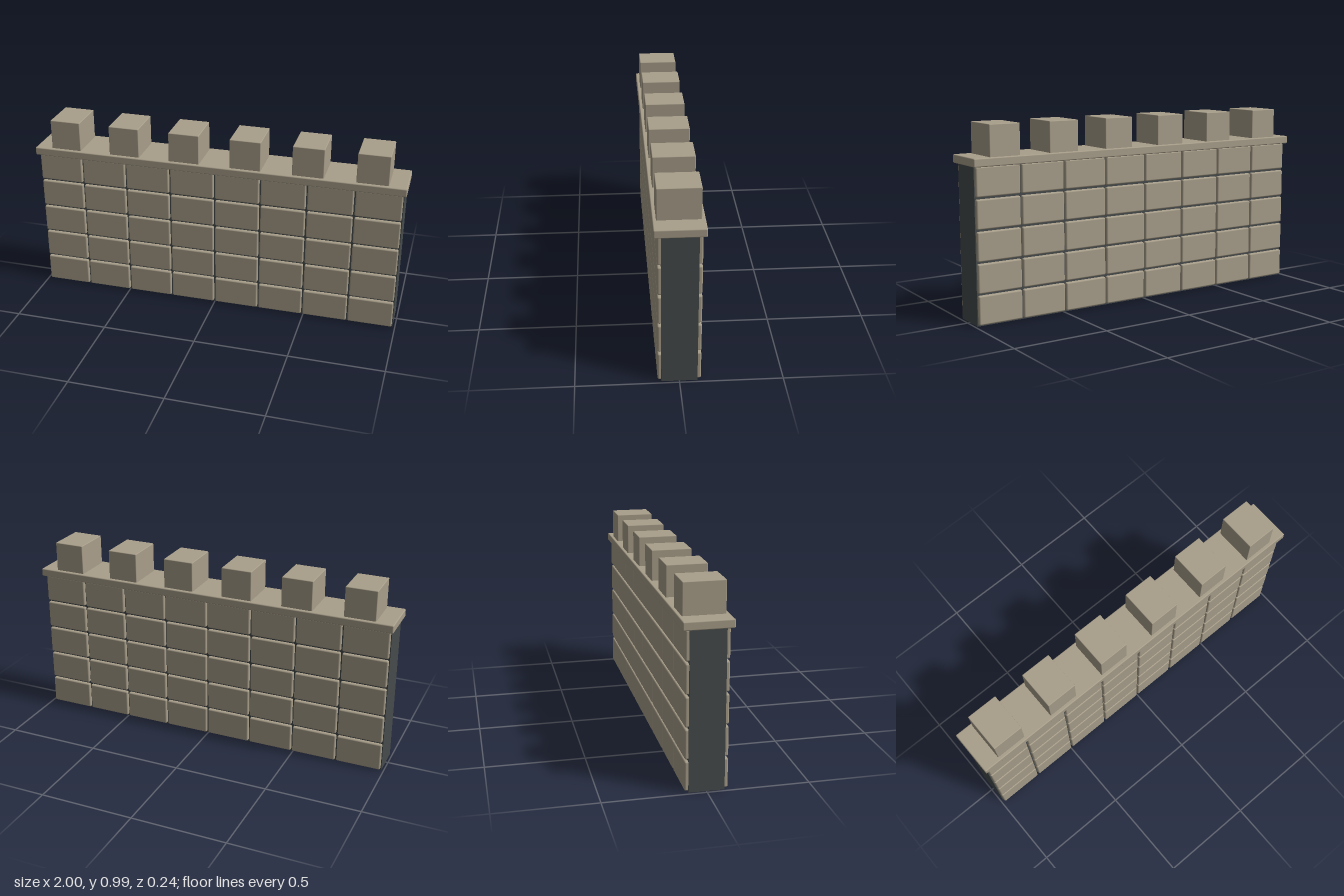
import * as THREE from 'three';
import { RoundedBoxGeometry } from 'three/addons/geometries/RoundedBoxGeometry.js';

const stone = new THREE.MeshStandardMaterial({ color: 0xa89e8a });
stone.name = 'stone';
const mortar = new THREE.MeshStandardMaterial({ color: 0x464b4c });
mortar.name = 'mortar';

export function createModel() {
  const wall = new THREE.Group();
  wall.name = 'battlementWall';

  const add = (name, geometry, material, x, y, z) => {
    const mesh = new THREE.Mesh(geometry, material);
    mesh.name = name;
    mesh.position.set(x, y, z);
    wall.add(mesh);
  };

  // Dark core showing in the joints, at the ends and underneath
  add('core', new THREE.BoxGeometry(1.974, 0.8, 0.174), mortar, 0, 0.4, 0);

  // Stacked stone blocks on both faces
  const columns = 8, rows = 5, pitchX = 0.2468, pitchY = 0.1588;
  const block = new RoundedBoxGeometry(0.238, 0.148, 0.038, 2, 0.008);
  for (const side of [1, -1]) {
    for (let row = 0; row < rows; row++) {
      for (let column = 0; column < columns; column++) {
        const x = (column - (columns - 1) / 2) * pitchX;
        add(side > 0 ? 'frontBlock' : 'backBlock', block, stone, x, 0.081 + row * pitchY, side * 0.0855);
      }
    }
  }

  // Overhanging coping course
  add('coping', new RoundedBoxGeometry(2, 0.043, 0.243, 2, 0.006), stone, 0, 0.8115, 0);

  // Merlons along the top
  const merlon = new RoundedBoxGeometry(0.165, 0.164, 0.208, 2, 0.004);
  for (let i = 0; i < 6; i++) {
    add('merlon', merlon, stone, (i - 2.5) * 0.33, 0.91, 0);
  }

  return wall;
}
